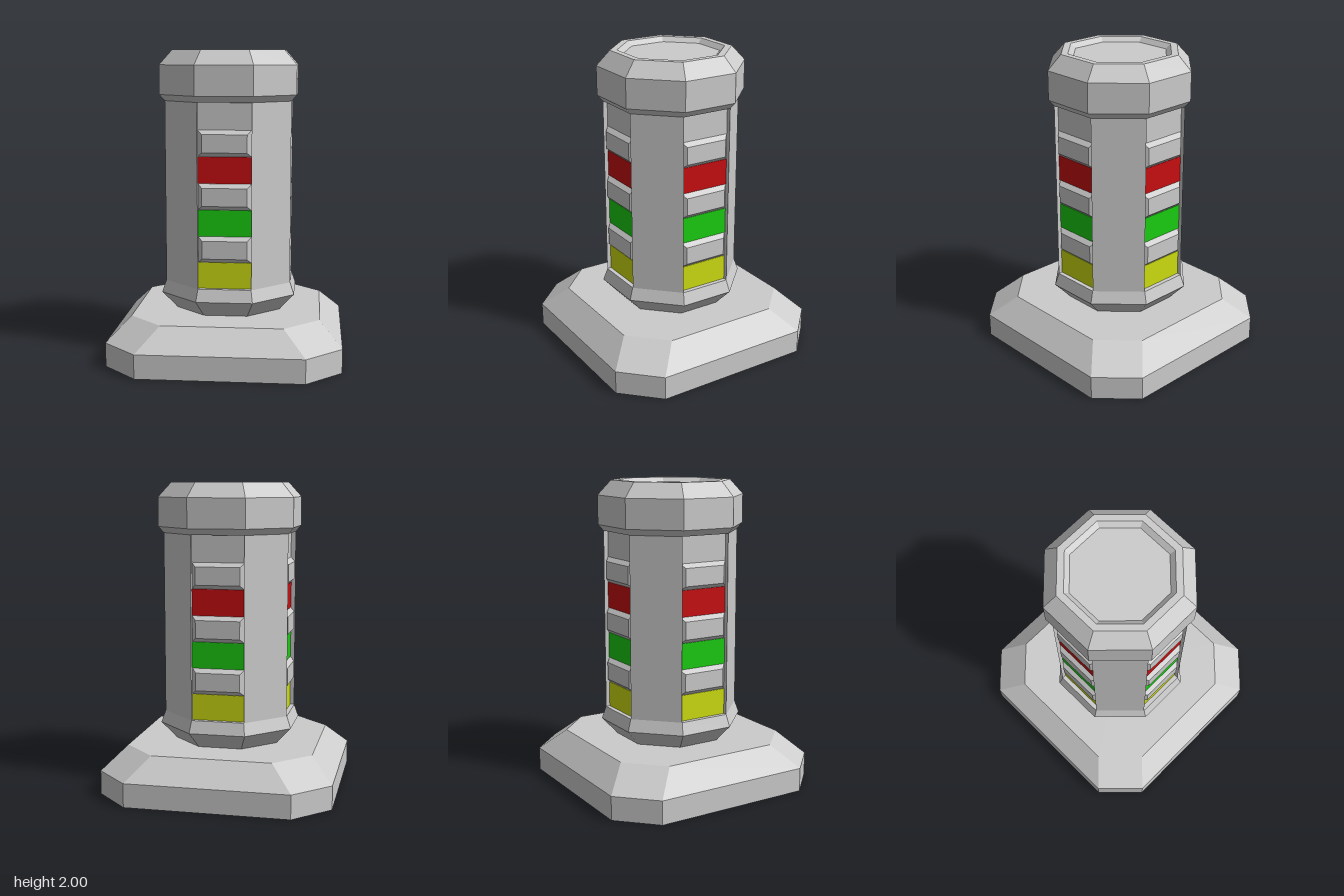
import * as THREE from 'three';

const paint = (color) => new THREE.MeshStandardMaterial({ color, flatShading: true });

// Closed faceted solid through rings of [x, z] points, each ring at height y.
function loft(rings) {
  const pos = [];
  const n = rings[0].points.length;
  const at = (r, i) => [r.points[i % n][0], r.y, r.points[i % n][1]];
  const tri = (a, b, c) => pos.push(...a, ...b, ...c);
  for (let k = 0; k < rings.length - 1; k++) {
    const lo = rings[k], hi = rings[k + 1];
    for (let i = 0; i < n; i++) {
      tri(at(lo, i), at(lo, i + 1), at(hi, i));
      tri(at(hi, i), at(lo, i + 1), at(hi, i + 1));
    }
  }
  const bottom = rings[0], top = rings[rings.length - 1];
  for (let i = 0; i < n; i++) {
    tri([0, top.y, 0], at(top, i), at(top, i + 1));
    tri([0, bottom.y, 0], at(bottom, i + 1), at(bottom, i));
  }
  const geo = new THREE.BufferGeometry();
  geo.setAttribute('position', new THREE.Float32BufferAttribute(pos, 3));
  geo.computeVertexNormals();
  return geo;
}

// Repeats one side's points around four quarter turns.
function fourSides(side) {
  const points = [];
  for (let q = 0; q < 4; q++) {
    const c = Math.cos(q * Math.PI / 2), s = Math.sin(q * Math.PI / 2);
    for (const [x, z] of side) points.push([x * c + z * s, z * c - x * s]);
  }
  return points;
}

// Octagon ring: half = distance to the flat, flat = half-length of that flat.
const octagon = (y, half, flat = half * Math.tan(Math.PI / 8)) =>
  ({ y, points: fourSides([[-flat, half], [flat, half]]) });

const rectangle = (y, w, h) => ({ y, points: [[-w, h], [w, h], [w, -h], [-w, -h]] });

export function createModel() {
  const model = new THREE.Group();
  const grey = paint(0xcccccc);
  const add = (name, geo, mat = grey, parent = model) => {
    const mesh = new THREE.Mesh(geo, mat);
    mesh.name = name;
    parent.add(mesh);
    return mesh;
  };

  // Wide foot with cut corners
  add('base', loft([octagon(0, 0.75, 0.525), octagon(0.155, 0.75, 0.525), octagon(0.3, 0.605, 0.385)]));

  // Flared collar under the column
  add('collar', loft([octagon(0.29, 0.33), octagon(0.3, 0.34), octagon(0.41, 0.437), octagon(0.49, 0.41)]));

  // Column with a shallow channel down each of its four main sides
  const channel = fourSides([[-0.171, 0.409], [-0.171, 0.378], [0.171, 0.378], [0.171, 0.409]]);
  add('column', loft([{ y: 0.48, points: channel }, { y: 1.69, points: channel }]));

  // Cap with a sunken top
  add('cap', loft([
    octagon(1.675, 0.41), octagon(1.715, 0.443), octagon(1.905, 0.443),
    octagon(2, 0.362), octagon(2, 0.32), octagon(1.97, 0.29),
  ]));

  // Lights and bevelled ribs alternate up each channel
  const step = 0.169;
  const lightGeo = new THREE.BoxGeometry(0.342, step, 0.02);
  const ribGeo = loft([rectangle(0, 0.171, step / 2), rectangle(0.03, 0.143, step / 2 - 0.027)]);
  ribGeo.rotateX(Math.PI / 2);
  const lights = [['yellowLight', 0xcddc10], ['greenLight', 0x1acc10], ['redLight', 0xc80d10]]
    .map(([name, color]) => [name, paint(color)]);
  for (let q = 0; q < 4; q++) {
    const panel = new THREE.Group();
    panel.name = 'lightPanel';
    panel.rotation.y = q * Math.PI / 2;
    model.add(panel);
    lights.forEach(([name, mat], i) => {
      const y = 0.49 + step * (2 * i + 0.5);
      add(name, lightGeo, mat, panel).position.set(0, y, 0.371);
      add('rib', ribGeo, grey, panel).position.set(0, y + step, 0.377);
    });
  }
  return model;
}
